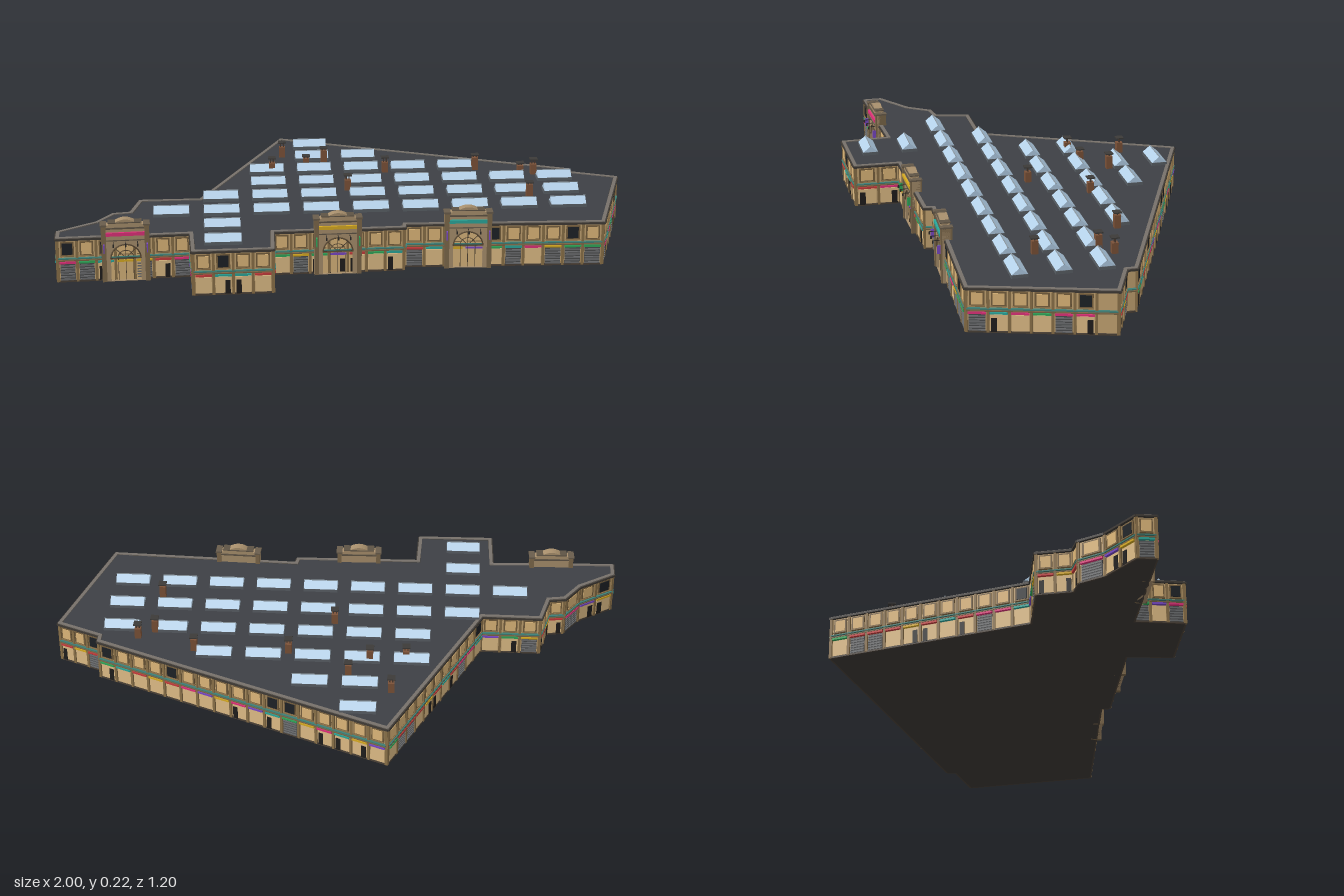
import * as THREE from 'three';
import { mergeGeometries } from 'three/addons/utils/BufferGeometryUtils.js';

// Footprint corners (x, z), clockwise seen from above
const OUTLINE = [
  [-0.2, -0.59], [0.83, -0.155], [0.83, -0.12], [0.985, -0.055], [0.85, 0.405], [0.175, 0.38],
  [0.17, 0.41], [-0.275, 0.42], [-0.28, 0.582], [-0.54, 0.587], [-0.545, 0.415], [-0.99, 0.435],
  [-0.99, 0.375], [-0.865, 0.29], [-0.81, 0.21], [-0.75, 0.2], [-0.72, 0.08], [-0.51, 0.08],
];
const SIGNS = { pink: 0xe0317a, teal: 0x2aa79b, yellow: 0xd9ac22, purple: 0x7a48c8, red: 0xc83c3c, green: 0x2fa85a };
const SIGN_NAMES = Object.keys(SIGNS);

export function createModel() {
  const model = new THREE.Group();
  const parts = new Map();

  // Collects pieces by part name; each part becomes one merged mesh
  function add(name, color, geo, matrix) {
    if (geo.index) geo = geo.toNonIndexed();
    if (matrix) geo.applyMatrix4(matrix);
    if (!parts.has(name)) parts.set(name, { color, geos: [] });
    parts.get(name).geos.push(geo);
  }
  function box(name, color, w, h, d, x, y, z, matrix) {
    add(name, color, new THREE.BoxGeometry(w, h, d).translate(x, y, z), matrix);
  }
  // Local frame with +z pointing out of a facade
  const frame = (x, z, angle) => new THREE.Matrix4().makeRotationY(angle).setPosition(x, 0, z);
  let seed = 7;
  const rand = () => (seed = (seed * 16807) % 2147483647) / 2147483647;

  // Floor, walls and roof share the footprint
  function slab(name, color, y0, y1) {
    const shape = new THREE.Shape(OUTLINE.map(([x, z]) => new THREE.Vector2(x, z)));
    const geo = new THREE.ExtrudeGeometry(shape, { depth: y1 - y0, bevelEnabled: false });
    add(name, color, geo.rotateX(Math.PI / 2).translate(0, y1, 0));
  }
  slab('floor', 0x3c3835, 0, 0.002);
  slab('walls', 0xc4a472, 0.002, 0.15);
  slab('roof', 0x3d4045, 0.15, 0.155);

  // One bay: upper window, sign fascia, and a shop, door or shutter below
  function bay(u, w, m) {
    const dark = rand() < 0.22;
    box('upperWindowFrames', 0x77603e, w * 0.7, 0.05, 0.005, u, 0.118, 0.0025, m);
    box(dark ? 'darkWindows' : 'warmWindows', dark ? 0x1d2126 : 0xdfb87a, w * 0.54, 0.04, 0.004, u, 0.118, 0.0045, m);
    box('windowSills', 0x8a7048, w * 0.74, 0.003, 0.009, u, 0.093, 0.0045, m);
    const sign = SIGN_NAMES[Math.floor(rand() * 6)];
    box(sign + 'Fascias', SIGNS[sign], w * 0.84, 0.007, 0.01, u, 0.07, 0.005, m);
    if (rand() < 0.25) {
      box('shutters', 0x4a4b4c, w * 0.78, 0.06, 0.004, u, 0.034, 0.002, m);
      for (let i = 0; i < 6; i++) box('shutterSlats', 0x6c6e70, w * 0.76, 0.005, 0.003, u, 0.01 + i * 0.0095, 0.005, m);
    } else {
      box('shopfronts', 0xdfbd86, w * 0.8, 0.056, 0.004, u, 0.035, 0.002, m);
      if (rand() < 0.65) {
        const side = rand() < 0.5 ? -1 : 1;
        box('doors', 0x1f1d1c, w * 0.26, 0.048, 0.004, u + side * w * 0.22, 0.028, 0.004, m);
      }
    }
  }

  // Facades: plinth, string courses, cornice, pilasters and bays along every edge
  OUTLINE.forEach(([ax, az], i) => {
    const [bx, bz] = OUTLINE[(i + 1) % OUTLINE.length];
    const dx = bx - ax, dz = bz - az, len = Math.hypot(dx, dz);
    const m = frame((ax + bx) / 2, (az + bz) / 2, Math.atan2(dz, -dx));
    box('plinth', 0x4a4036, len, 0.006, 0.006, 0, 0.003, 0.002, m);
    box('lowerStringCourse', 0x7a6444, len, 0.004, 0.012, 0, 0.077, 0.003, m);
    box('tealStringCourse', 0x3f7f76, len, 0.004, 0.014, 0, 0.084, 0.003, m);
    box('cornice', 0x3f3a35, len + 0.012, 0.007, 0.018, 0, 0.1515, 0.001, m);
    box('parapet', 0x77716a, len + 0.008, 0.003, 0.012, 0, 0.1565, 0, m);
    if (len < 0.05) return;
    const n = Math.max(1, Math.round(len / 0.067)), w = len / n;
    for (let k = 0; k <= n; k++) {
      const u = -len / 2 + k * w;
      box('pilasters', 0x8a7048, 0.009, 0.146, 0.008, u, 0.075, 0.003, m);
      const blankCorner = i === 3 && k === n - 1;
      if (k < n && !blankCorner) bay(u + w / 2, w, m);
    }
  });

  // Entrance pavilions with stepped gable, arched gate and coloured sign
  function archPath(PathType, r, spring) {
    const p = new PathType();
    p.moveTo(-r, 0.002);
    p.lineTo(-r, spring);
    p.absarc(0, spring, r, Math.PI, 0, true);
    p.lineTo(r, 0.002);
    p.closePath();
    return p;
  }
  function pavilion(x, z, angle, sign, blade) {
    const m = frame(x, z, angle);
    const s = new THREE.Shape();
    s.moveTo(-0.08, 0);
    [[0.08, 0], [0.08, 0.2], [0.055, 0.2], [0.055, 0.208], [0.032, 0.208]].forEach(([a, b]) => s.lineTo(a, b));
    s.quadraticCurveTo(0, 0.228, -0.032, 0.208);
    [[-0.055, 0.208], [-0.055, 0.2], [-0.08, 0.2]].forEach(([a, b]) => s.lineTo(a, b));
    s.holes.push(archPath(THREE.Path, 0.05, 0.08));
    add('pavilionWalls', 0xa88f6c,
      new THREE.ExtrudeGeometry(s, { depth: 0.03, bevelEnabled: false, curveSegments: 12 }).translate(0, 0, -0.015), m);
    add('arcGates', 0xd9b57c, new THREE.ShapeGeometry(archPath(THREE.Shape, 0.05, 0.08), 12).translate(0, 0, 0.006), m);
    add('archTrim', 0x5d4c36, new THREE.TorusGeometry(0.05, 0.0025, 5, 20, Math.PI).translate(0, 0.08, 0.015), m);
    add('archTrim', 0x5d4c36, new THREE.TorusGeometry(0.026, 0.0015, 5, 14, Math.PI).translate(0, 0.08, 0.007), m);
    box('gateBars', 0x4d4030, 0.1, 0.003, 0.004, 0, 0.08, 0.007, m);
    for (const gx of [-0.025, 0, 0.025]) box('gateBars', 0x4d4030, 0.002, 0.08, 0.004, gx, 0.04, 0.007, m);
    for (const a of [-0.8, 0, 0.8]) {
      const ray = new THREE.BoxGeometry(0.002, 0.05, 0.003).translate(0, 0.025, 0).rotateZ(a).translate(0, 0.08, 0.007);
      add('gateBars', 0x4d4030, ray, m);
    }
    for (const side of [-1, 1]) {
      box('pavilionPiers', 0x7d684a, 0.016, 0.196, 0.04, side * 0.072, 0.098, 0, m);
      box('pavilionCaps', 0x6a5d4c, 0.022, 0.006, 0.044, side * 0.072, 0.199, 0, m);
      box(blade + 'Fascias', SIGNS[blade], 0.004, 0.03, 0.012, side * 0.072, 0.12, 0.026, m);
    }
    box('pavilionCornice', 0x5f5445, 0.15, 0.005, 0.038, 0, 0.188, 0, m);
    box('pavilionCornice', 0x5f5445, 0.112, 0.003, 0.036, 0, 0.207, 0, m);
    box('pavilionCornice', 0x5f5445, 0.13, 0.003, 0.036, 0, 0.145, 0, m);
    box(sign + 'Fascias', SIGNS[sign], 0.128, 0.012, 0.008, 0, 0.168, 0.018, m);
    // Lanterns on short brackets
    for (const lx of [-0.04, 0, 0.04]) {
      box('lanternBrackets', 0x2b2927, 0.002, 0.002, 0.028, lx, 0.14, 0.028, m);
      box('lanterns', 0x2b2927, 0.005, 0.009, 0.005, lx, 0.135, 0.041, m);
    }
  }
  pavilion(-0.765, 0.425, 0.045, 'pink', 'purple');
  pavilion(-0.055, 0.415, 0.022, 'yellow', 'green');
  pavilion(0.39, 0.389, -0.037, 'teal', 'purple');

  // Skylights: rows of [z, first column, last column]
  const rows = [[-0.49, 3, 3], [-0.35, 3, 4], [-0.205, 2, 6], [-0.062, 2, 8], [0.08, 1, 8], [0.225, 0, 8], [0.365, 1, 1], [0.51, 1, 1]];
  const gable = new THREE.Shape([[-0.027, 0], [0.027, 0], [0, 0.022]].map(([a, b]) => new THREE.Vector2(a, b)));
  for (const [z, first, last] of rows) {
    for (let c = first; c <= last; c++) {
      const x = -0.612 + c * 0.1715;
      box('skylightCurbs', 0x5a6066, 0.125, 0.012, 0.056, x, 0.16, z);
      const prism = new THREE.ExtrudeGeometry(gable, { depth: 0.121, bevelEnabled: false });
      add('skylightGlass', 0xb4d0e8, prism.translate(0, 0, -0.0605).rotateY(Math.PI / 2).translate(x, 0.166, z));
      box('skylightRidges', 0x8b979f, 0.123, 0.002, 0.003, x, 0.188, z);
    }
  }

  // Brick chimneys with pots and thin caps
  const chimneys = [[-0.205, -0.385], [-0.055, -0.305], [-0.25, -0.2], [-0.125, -0.215], [0.16, -0.18],
    [0.49, -0.185], [0.695, -0.12], [0.64, -0.08], [0.01, 0.01], [0.64, 0.135]];
  chimneys.forEach(([x, z], i) => {
    const top = i % 2 ? 0.202 : 0.193;
    box('chimneys', 0x7c5238, 0.022, top - 0.15, 0.022, x, (top + 0.15) / 2, z);
    for (const s of [-1, 1]) box('chimneyPots', 0x4a3a30, 0.004, 0.21 - top, 0.004, x + s * 0.005, (0.21 + top) / 2, z);
    box('chimneyCaps', 0x3c3a38, 0.028, 0.004, 0.028, x, 0.211, z);
  });

  for (const [name, { color, geos }] of parts) {
    const mesh = new THREE.Mesh(mergeGeometries(geos), new THREE.MeshStandardMaterial({ color }));
    mesh.name = name;
    model.add(mesh);
  }
  return model;
}
